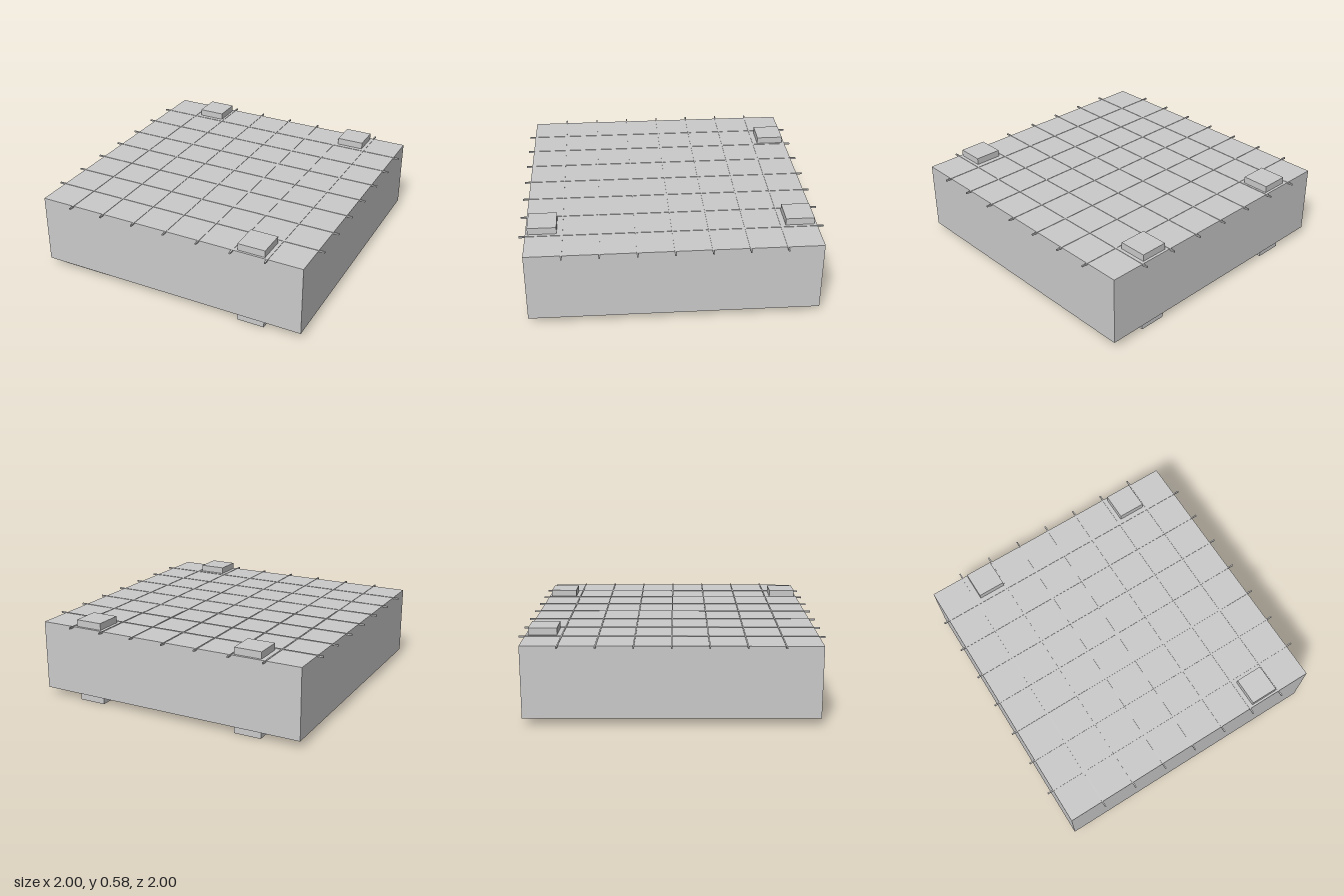
import * as THREE from 'three';

export function createModel() {
  const group = new THREE.Group();
  const material = new THREE.MeshStandardMaterial({ color: 0xcccccc, flatShading: true });

  // Box given by its size and centre in plan, and by its bottom and top heights
  const slab = (name, w, d, y0, y1, x, z) => {
    const mesh = new THREE.Mesh(new THREE.BoxGeometry(w, y1 - y0, d), material);
    mesh.name = name;
    mesh.position.set(x, (y0 + y1) / 2, z);
    group.add(mesh);
  };

  const bottom = 0.05, top = 0.53;
  slab('body', 1.92, 1.92, bottom, top, 0, 0);

  // Grid of thin rods, half sunk in the top and poking out at the sides
  for (let i = -3; i <= 3; i++) {
    slab('crossRod', 2, 0.009, 0.522, 0.533, 0, i * 0.24);
    slab('lengthRod', 0.009, 2, 0.522, 0.533, i * 0.24, 0);
  }

  // Square pads above and below three of the corners
  for (const [x, z] of [[-0.59, -0.847], [0.603, -0.847], [0.603, 0.85]]) {
    slab('topPad', 0.19, 0.19, top, 0.577, x, z);
    slab('foot', 0.19, 0.19, 0, bottom, x, z);
  }

  // Flat plate under the fourth corner
  slab('cornerPlate', 0.368, 0.19, 0.036, bottom, -0.658, 0.85);

  // Rows of three very thin plates along the sides of the underside
  for (const x of [-0.845, 0.828]) {
    for (let i = -1; i <= 1; i++) {
      slab('underPlate', 0.192, 0.386, 0.046, bottom, x, -0.025 + i * 0.39);
    }
  }
  return group;
}
